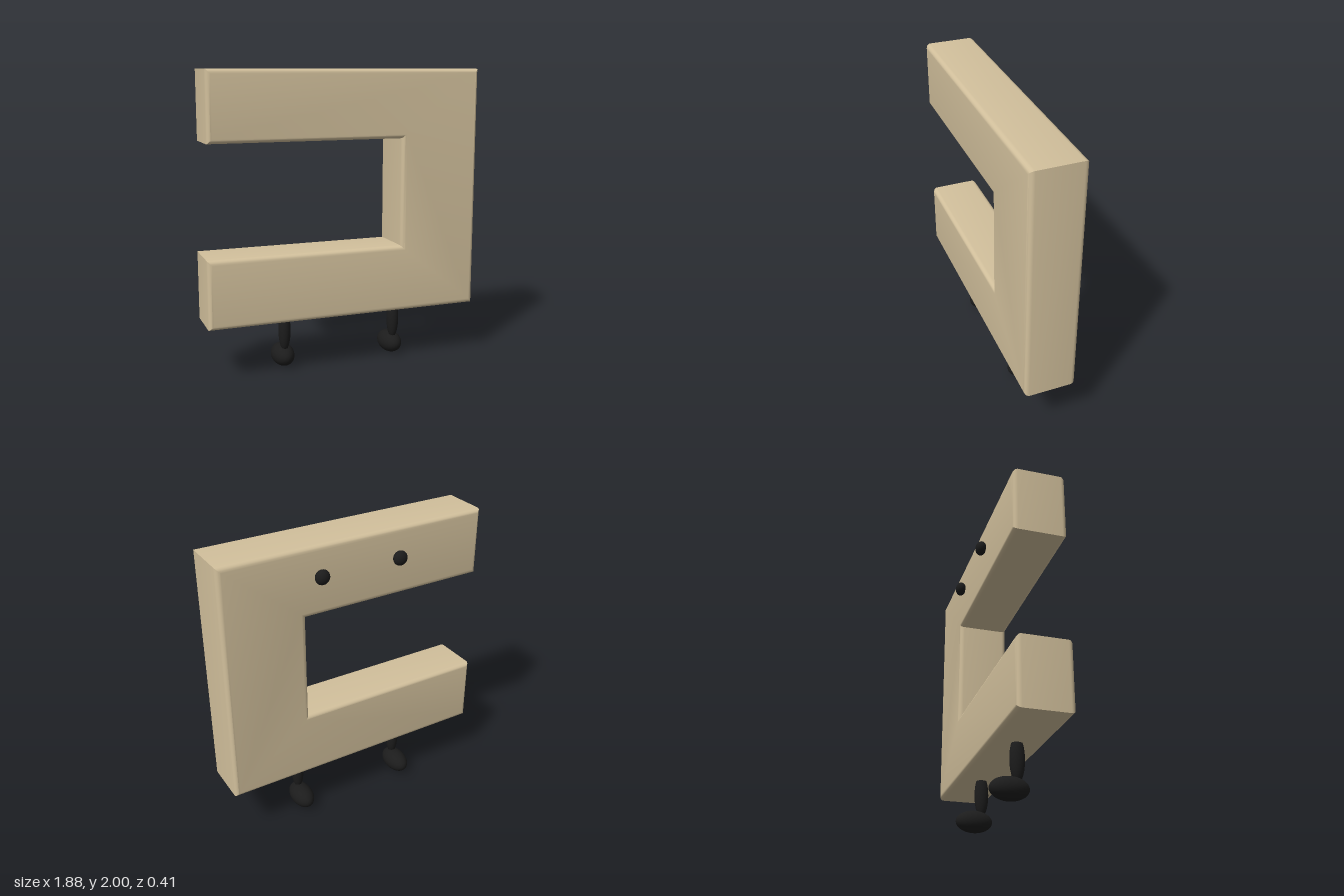
import * as THREE from 'three';
import { toCreasedNormals } from 'three/addons/utils/BufferGeometryUtils.js';

export function createModel() {
  const model = new THREE.Group();
  const tan = new THREE.MeshStandardMaterial({ color: 0xd2c09c });
  tan.name = 'tan';
  const black = new THREE.MeshStandardMaterial({ color: 0x1c1c1c });
  black.name = 'black';

  // Body: one C-shaped slab with rounded front and back edges
  const outline = [
    [-0.945, 0.365], [0.94, 0.365], [0.94, 2], [-0.925, 2],
    [-0.925, 1.545], [0.38, 1.545], [0.38, 0.82], [-0.945, 0.82],
  ];
  const shape = new THREE.Shape(outline.map(([x, y]) => new THREE.Vector2(x, y)));
  const bevel = 0.032;
  const slab = new THREE.ExtrudeGeometry(shape, {
    depth: 0.35 - 2 * bevel,
    bevelEnabled: true,
    bevelThickness: bevel,
    bevelSize: bevel,
    bevelOffset: -bevel,
    bevelSegments: 5,
  });
  slab.translate(0, 0, -0.142 + bevel);
  const body = new THREE.Mesh(toCreasedNormals(slab, 0.6), tan);
  body.name = 'body';
  model.add(body);

  // Stretched sphere used for the limbs and eyes
  const ball = new THREE.SphereGeometry(1, 28, 18);
  function ellipsoid(name, position, radii) {
    const mesh = new THREE.Mesh(ball, black);
    mesh.name = name;
    mesh.position.set(...position);
    mesh.scale.set(...radii);
    model.add(mesh);
  }

  for (const [side, s] of [['left', 1], ['right', -1]]) {
    ellipsoid(side + 'Leg', [0.4 * s, 0.265, 0.033], [0.041, 0.15, 0.048]);
    ellipsoid(side + 'Foot', [0.4 * s, 0.077, -0.018], [0.076, 0.075, 0.126]);
    // Eyes sit on the back face
    ellipsoid(side + 'Eye', [0.28 * s, 1.808, -0.17], [0.049, 0.049, 0.037]);
  }
  return model;
}
